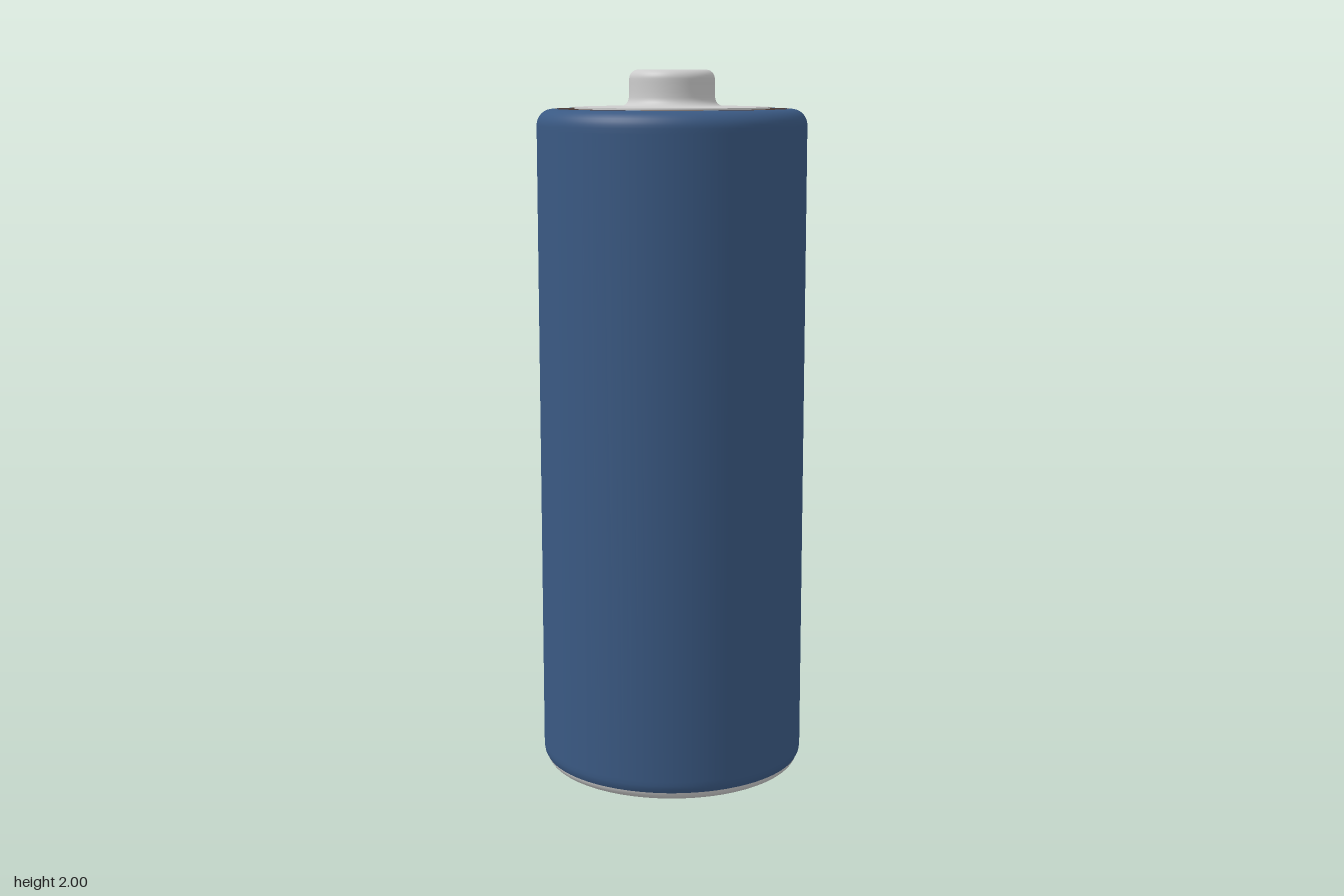
import * as THREE from 'three';

const material = (color) => new THREE.MeshStandardMaterial({ color });

// Points along a circular arc in (radius, height), angles in degrees
function arc(cx, cy, r, from, to, steps = 8) {
  return Array.from({ length: steps + 1 }, (_, i) => {
    const a = THREE.MathUtils.degToRad(from + ((to - from) * i) / steps);
    return [cx + r * Math.cos(a), cy + r * Math.sin(a)];
  });
}

// Smooth turned part; profiles run from the bottom up the outside to the top
function turned(name, profile, mat) {
  const points = profile.map(([r, y]) => new THREE.Vector2(Math.max(r, 0), y));
  const mesh = new THREE.Mesh(new THREE.LatheGeometry(points, 96), mat);
  mesh.name = name;
  return mesh;
}

export function createModel() {
  const group = new THREE.Group();
  group.name = 'battery';
  const metal = material(0xcccccc);
  const R = 0.377, top = 1.893;

  // Blue wrapper with a rounded upper rim and a slightly tucked lower edge
  const wrapper = turned('wrapper', [
    [0.37, 0.026], [0.375, 0.036], [R, 0.048], [R, 0.06],
    [R, 1.835], ...arc(R - 0.045, top - 0.045, 0.045, 0, 90),
    [0.325, top],
  ], material(0x3a5983));

  // Metal base with a rounded edge
  const base = turned('baseTerminal', [
    [0, 0], [0.31, 0], [0.335, 0],
    ...arc(0.338, 0.032, 0.032, -84, -10),
  ], metal);

  // Dark insulating ring around the upper contact
  const ring = turned('insulatorRing', [[0.326, top], [0.27, top]], material(0x483834));

  // Upper contact: thin plate flaring up into the raised button
  const plate = turned('contactPlateEdge', [[0.272, top - 0.002], [0.272, 1.898]], metal);
  const button = turned('contactButton', [
    [0.272, 1.898], [0.2, 1.899], [0.155, 1.9],
    ...arc(0.145, 1.925, 0.025, 270, 180, 6),
    [0.119, 1.94], [0.119, 1.965],
    ...arc(0.094, 1.975, 0.025, 0, 90),
    [0.085, 2], [0, 2],
  ], metal);

  group.add(wrapper, base, ring, plate, button);
  return group;
}
